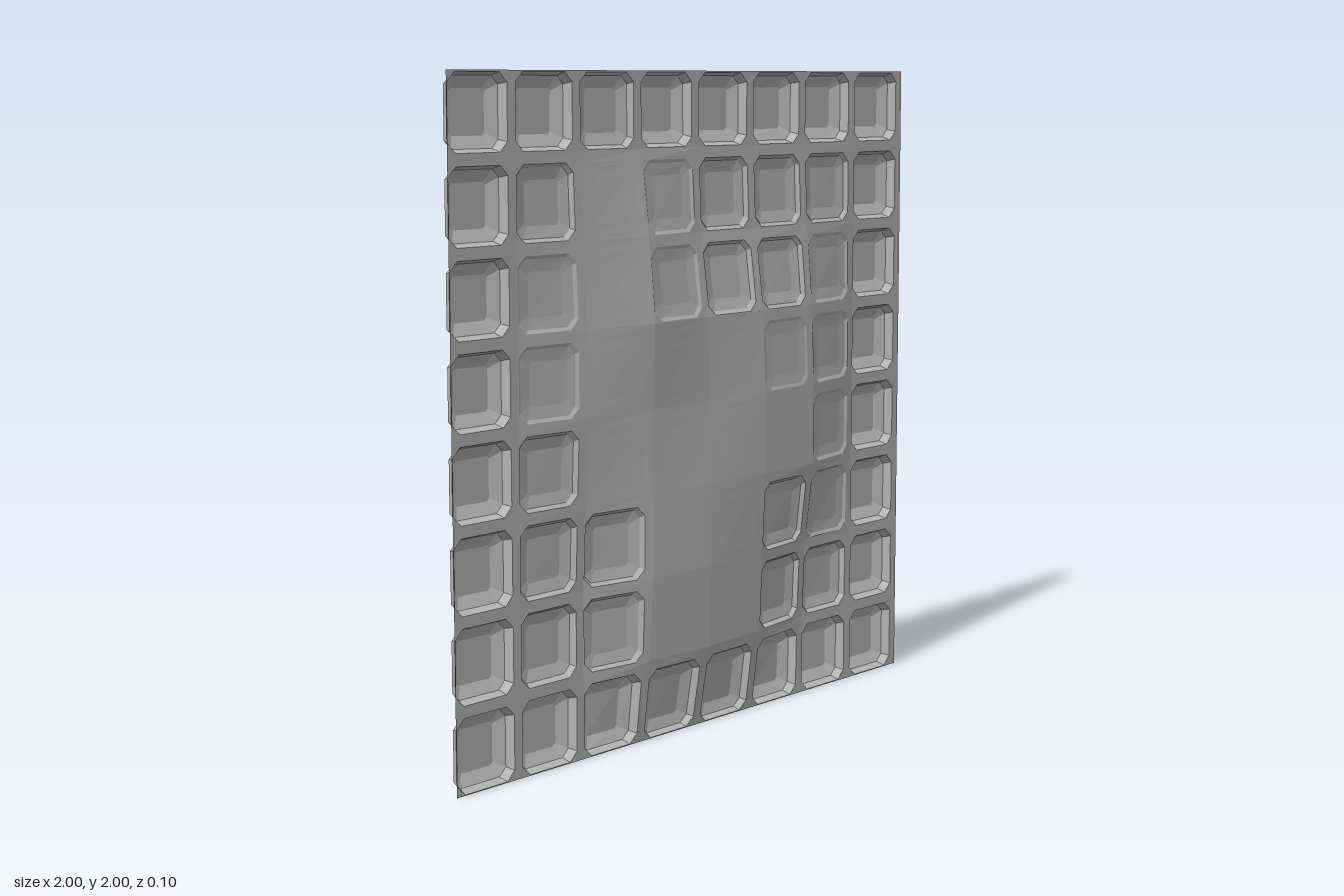
import * as THREE from 'three';

// forward bulge at the cell corners, in hundredths; first row is the top edge
const BULGE = [
  '000000000',
  '000000000',
  '001311100',
  '002544300',
  '002445400',
  '001455400',
  '000454100',
  '000343000',
  '000000000',
].map((r) => [...r].map(Number)).reverse();

// how much of each pocket is left, in ninths; first row is the top
const DEPTH = [
  '99699999',
  '94024449',
  '92024429',
  '92000129',
  '94000029',
  '95400429',
  '96400559',
  '99977999',
].map((r) => [...r].map(Number)).reverse();

const PITCH_X = 0.25, PITCH_Y = 0.2535, POCKET = 0.224, BASE = -0.005;

// eight-sided outline of a rectangle with cut corners, counter-clockwise
function outline(x0, y0, x1, y1, c) {
  return [
    [x0 + c, y0], [x1 - c, y0], [x1, y0 + c], [x1, y1 - c],
    [x1 - c, y1], [x0 + c, y1], [x0, y1 - c], [x0, y0 + c],
  ];
}

// one cell: flat border, steep wall, sloped wall and floor, draped on the bulge
function addCell(i, j, out) {
  const x0 = -1 + i * PITCH_X, y0 = j * PITCH_Y;
  const w = PITCH_X, h = Math.min(PITCH_Y, 2 - y0);
  const keep = DEPTH[j][i] / 9;
  const drape = (x, y, d) => {
    const u = (x - x0) / w, v = (y - y0) / h;
    const low = BULGE[j][i] * (1 - u) + BULGE[j][i + 1] * u;
    const high = BULGE[j + 1][i] * (1 - u) + BULGE[j + 1][i + 1] * u;
    return [x, y, BASE + 0.011 * (low * (1 - v) + high * v) - d * keep];
  };
  const ring = (inset, d, c) => outline(
    x0 + inset, y0 + inset, x0 + POCKET - inset, y0 + POCKET - inset, c,
  ).map(([x, y]) => drape(x, y, d));
  const rings = [
    outline(x0, y0, x0 + w, y0 + h, 0).map(([x, y]) => drape(x, y, 0)),
    ring(0.003, 0, 0.028),
    ring(0.013, 0.027, 0.024),
    ring(0.048, 0.045, 0.008),
  ];
  const centre = drape(x0 + POCKET / 2, y0 + POCKET / 2, 0.045);
  for (let k = 0; k < 8; k++) {
    const n = (k + 1) % 8;
    for (let r = 0; r < 3; r++) {
      const a = rings[r][k], b = rings[r][n], c = rings[r + 1][n], d = rings[r + 1][k];
      // the outer ring has doubled corners, so skip its empty triangles
      if (a[0] !== b[0] || a[1] !== b[1]) out.push(...a, ...b, ...c);
      out.push(...a, ...c, ...d);
    }
    out.push(...rings[3][k], ...rings[3][n], ...centre);
  }
}

export function createModel() {
  const grey = new THREE.MeshStandardMaterial({
    color: 0xb4b4b4, flatShading: true, side: THREE.DoubleSide,
  });
  grey.name = 'panelGrey';

  const positions = [];
  for (let j = 0; j < 8; j++) for (let i = 0; i < 8; i++) addCell(i, j, positions);
  const geometry = new THREE.BufferGeometry();
  geometry.setAttribute('position', new THREE.Float32BufferAttribute(positions, 3));
  geometry.computeVertexNormals();

  const panel = new THREE.Mesh(geometry, grey);
  panel.name = 'dentedPocketPanel';
  const group = new THREE.Group();
  group.name = 'wallPanel';
  group.add(panel);
  return group;
}
